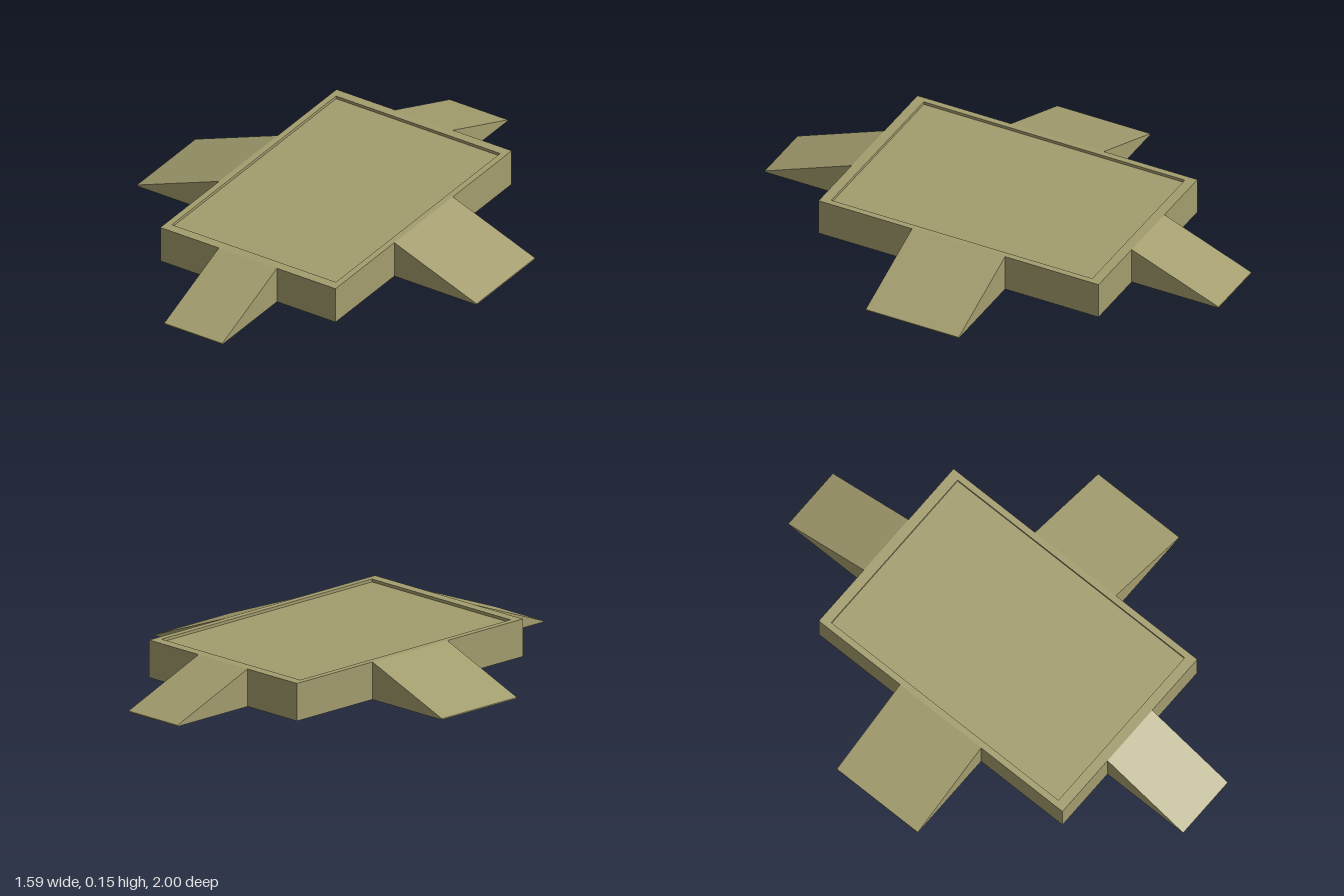
import * as THREE from 'three';

const HALF_X = 0.41, HALF_Z = 0.617, HEIGHT = 0.153;
const RECESS = 0.012, LIP = 0.005;

const rect = (Type, hx, hz) => new Type([
  new THREE.Vector2(-hx, -hz), new THREE.Vector2(hx, -hz),
  new THREE.Vector2(hx, hz), new THREE.Vector2(-hx, hz),
]);

export function createModel() {
  const group = new THREE.Group();
  const material = new THREE.MeshStandardMaterial({ color: 0xa39d6e, flatShading: true });
  const add = (name, geometry) => {
    const mesh = new THREE.Mesh(geometry, material);
    mesh.name = name;
    group.add(mesh);
    return mesh;
  };

  // Platform body, up to the floor of the shallow recess
  const bodyHeight = HEIGHT - RECESS;
  add('platform', new THREE.BoxGeometry(HALF_X * 2, bodyHeight, HALF_Z * 2))
    .position.y = bodyHeight / 2;

  // Raised rim framing the recessed deck
  const frame = rect(THREE.Shape, HALF_X, HALF_Z);
  frame.holes.push(rect(THREE.Path, 0.384, 0.575));
  const rim = new THREE.ExtrudeGeometry(frame, { depth: RECESS, bevelEnabled: false });
  rim.rotateX(-Math.PI / 2);
  add('rim', rim).position.y = bodyHeight;

  // Wedge ramps: each slopes outward along its own +x, then turns to its side
  const ramps = [
    ['leftRamp', 0, HALF_X, 0.795, 0.41],
    ['backRamp', Math.PI / 2, HALF_Z, 1, 0.272],
    ['rightRamp', Math.PI, HALF_X, 0.795, 0.41],
    ['frontRamp', -Math.PI / 2, HALF_Z, 1, 0.272],
  ];
  for (const [name, angle, inner, outer, width] of ramps) {
    const profile = new THREE.Shape([
      new THREE.Vector2(inner, 0), new THREE.Vector2(outer, 0),
      new THREE.Vector2(outer, LIP), new THREE.Vector2(inner, HEIGHT),
    ]);
    const wedge = new THREE.ExtrudeGeometry(profile, { depth: width, bevelEnabled: false });
    wedge.translate(0, 0, -width / 2);
    add(name, wedge).rotation.y = angle;
  }

  return group;
}
